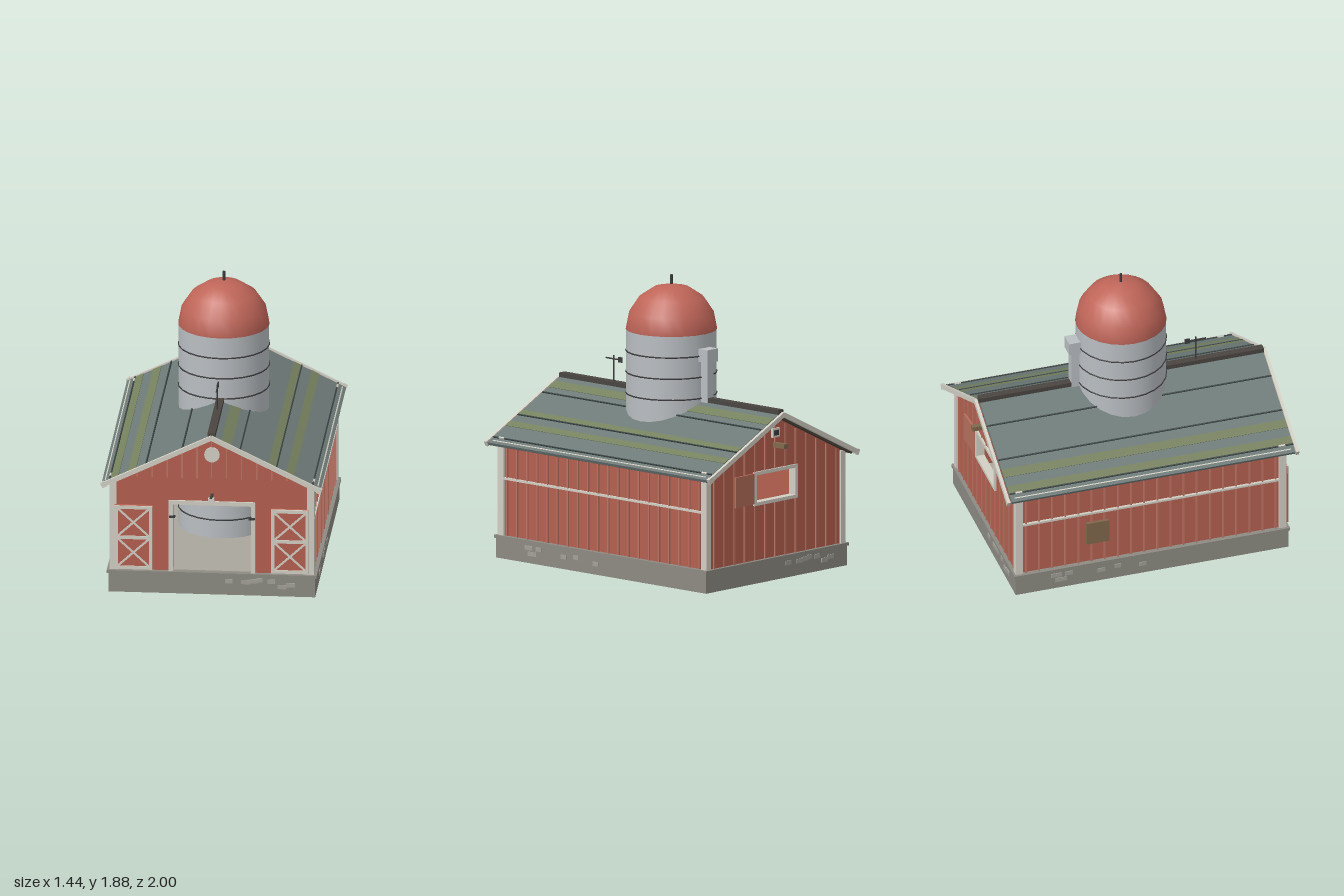
import * as THREE from 'three';

const COLORS = {
  wall: 0xb5604f, batten: 0xbd7464, trim: 0xd2cfc4, stone: 0x8c8a82, stoneLight: 0xa3a098,
  floor: 0xa9a69d, roof: 0x6d7a78, moss: 0x76815f, seam: 0x3a4442, ridge: 0x4a4541,
  silo: 0xb9bec2, dome: 0xbf6558, metal: 0x3c3c3e, wood: 0x80694c, shutter: 0xb8705c, under: 0x51473c,
};
const mats = {};
for (const k in COLORS) {
  mats[k] = new THREE.MeshStandardMaterial({ color: COLORS[k] });
}

const RIDGE = 1.1, EAVE_X = 0.71, SLOPE = 0.486;
const ANGLE = Math.atan(SLOPE), RUN = EAVE_X / Math.cos(ANGLE);
const roofY = (x) => RIDGE - SLOPE * Math.abs(x);

function add(parent, name, geo, mat, x = 0, y = 0, z = 0) {
  const m = new THREE.Mesh(geo, mats[mat]);
  m.name = name;
  m.position.set(x, y, z);
  parent.add(m);
  return m;
}
// Box given by its extents on each axis
function span(parent, name, mat, x0, x1, y0, y1, z0, z1) {
  return add(parent, name, new THREE.BoxGeometry(x1 - x0, y1 - y0, z1 - z0), mat,
    (x0 + x1) / 2, (y0 + y1) / 2, (z0 + z1) / 2);
}
function sub(parent, name) {
  const g = new THREE.Group();
  g.name = name;
  parent.add(g);
  return g;
}

function buildFoundation(root) {
  const g = sub(root, 'foundation');
  span(g, 'base', 'stone', -0.67, 0.67, 0, 0.13, -0.915, 0.93);
  span(g, 'ledge', 'stone', -0.68, 0.68, 0.13, 0.15, -0.925, 0.94);
  span(g, 'floor', 'floor', -0.62, 0.62, 0.145, 0.155, -0.87, 0.905);
  // Raised stones: [position along the wall, y, width]
  const front = [[0.11, 0.095, 0.05], [0.22, 0.092, 0.06], [0.27, 0.1, 0.06], [0.31, 0.107, 0.04],
    [0.385, 0.1, 0.05], [0.455, 0.065, 0.06], [0.51, 0.08, 0.06]];
  const side = [[0.64, 0.1, 0.07], [0.61, 0.062, 0.08], [0.555, 0.1, 0.05], [0.335, 0.08, 0.05],
    [0.225, 0.09, 0.045], [0.055, 0.07, 0.05]];
  for (const [p, y, w] of front) {
    span(g, 'stone', 'stoneLight', p - w / 2, p + w / 2, y - 0.014, y + 0.014, 0.92, 0.936);
    span(g, 'stone', 'stoneLight', -p - w / 2, -p + w / 2, y - 0.014, y + 0.014, -0.921, -0.9);
  }
  for (const [p, y, w] of side) {
    span(g, 'stone', 'stoneLight', 0.66, 0.675, y - 0.014, y + 0.014, p - w / 2, p + w / 2);
    span(g, 'stone', 'stoneLight', -0.675, -0.66, y - 0.014, y + 0.014, -p - w / 2, -p + w / 2);
  }
}

function buildWalls(root) {
  const g = sub(root, 'walls');
  const gable = (notch) => {
    const e = roofY(0.64) - 0.03;
    const pts = [[0.64, 0.15], [0.64, e], [0, RIDGE - 0.03], [-0.64, e], [-0.64, 0.15], ...notch];
    return new THREE.Shape(pts.map(([x, y]) => new THREE.Vector2(x, y)));
  };
  const opts = { depth: 0.04, bevelEnabled: false };
  const front = gable([[-0.255, 0.15], [-0.255, 0.61], [0.255, 0.61], [0.255, 0.15]]);
  add(g, 'frontWall', new THREE.ExtrudeGeometry(front, opts), 'wall', 0, 0, 0.87);
  const back = gable([]);
  back.holes.push(new THREE.Path([[-0.19, 0.53], [-0.19, 0.71], [0.19, 0.71], [0.19, 0.53]]
    .map(([x, y]) => new THREE.Vector2(x, y))));
  add(g, 'backWall', new THREE.ExtrudeGeometry(back, opts), 'wall', 0, 0, -0.9);

  // Vertical battens of the gable ends
  for (let i = -6; i <= 6; i++) {
    const x = i * 0.097, top = roofY(x) - 0.04;
    span(g, 'frontBatten', 'batten', x - 0.005, x + 0.005, 0.79, top, 0.9, 0.917);
    const parts = Math.abs(x) < 0.22 ? [[0.15, 0.51], [0.73, top]] : [[0.15, top]];
    for (const [a, b] of parts) span(g, 'backBatten', 'batten', x - 0.005, x + 0.005, a, b, -0.907, -0.89);
  }
  // Long sides with battens, rail and corner boards
  for (const s of [-1, 1]) {
    const w = sub(g, s > 0 ? 'leftSide' : 'rightSide');
    add(w, 'sideWall', new THREE.BoxGeometry(0.04, 0.62, 1.78), 'wall', s * 0.625, 0.46, 0.005);
    for (let i = 0; i < 20; i++) {
      add(w, 'batten', new THREE.BoxGeometry(0.014, 0.61, 0.01), 'batten', s * 0.65, 0.455, 0.85 - i * 0.089);
    }
    add(w, 'rail', new THREE.BoxGeometry(0.022, 0.014, 1.75), 'trim', s * 0.652, 0.525, 0.005);
    add(w, 'frontCorner', new THREE.BoxGeometry(0.045, 0.61, 0.05), 'trim', s * 0.64, 0.455, 0.897);
    add(w, 'backCorner', new THREE.BoxGeometry(0.045, 0.61, 0.05), 'trim', s * 0.64, 0.455, -0.887);
  }
  span(g, 'sidePatch', 'wood', -0.664, -0.645, 0.29, 0.45, -0.43, -0.28);
}

function buildRoof(root) {
  const g = sub(root, 'roof');
  const zc = 0.007, len = 1.92;
  // Mossy sheet strips on each slope, as x ranges
  const moss = { 1: [[0.065, 0.13], [0.37, 0.42], [0.485, 0.535]], '-1': [[0.6, 0.65], [0.485, 0.54]] };
  for (const s of [-1, 1]) {
    const p = sub(g, s > 0 ? 'leftSlope' : 'rightSlope');
    p.position.y = RIDGE;
    p.rotation.z = -s * ANGLE;
    const c = Math.cos(ANGLE);
    const strip = (name, mat, x0, x1, y0, y1, depth, z = zc) =>
      add(p, name, new THREE.BoxGeometry((x1 - x0) / c, y1 - y0, depth), mat, s * (x0 + x1) / 2 / c, (y0 + y1) / 2, z);
    strip('roofSheet', 'roof', 0, EAVE_X, -0.018, 0.002, len);
    strip('roofLining', 'under', 0.01, EAVE_X - 0.01, -0.028, -0.018, len - 0.02);
    for (const x of [0.185, 0.42, 0.655]) strip('seam', 'seam', x - 0.004, x + 0.004, 0, 0.009, len);
    for (const [a, b] of moss[s]) strip('mossStrip', 'moss', a, b, 0, 0.005, len);
    strip('eaveLine', 'trim', 0.683, 0.69, 0, 0.006, 1.87);
    for (const z of [-0.89, 0.89]) strip('eaveClip', 'trim', 0.65, 0.66, 0, 0.012, 0.045, z);
    for (const z of [-0.975, 0.98]) {
      strip('bargeBoard', 'trim', 0, EAVE_X, -0.022, 0.008, 0.02, z);
      strip('bargeEnd', 'trim', 0.69, 0.715, -0.026, 0.011, 0.022, z);
    }
  }
  span(g, 'ridgeCap', 'ridge', -0.025, 0.025, 1.085, 1.12, -0.955, 0.97);
}

function buildSilo(root) {
  const g = sub(root, 'silo');
  g.position.z = 0.008;
  const R = 0.293;
  add(g, 'siloBody', new THREE.CylinderGeometry(R, R, 1.38, 24), 'silo', 0, 0.84, 0);
  add(g, 'siloDome', new THREE.SphereGeometry(R + 0.003, 24, 4, 0, Math.PI * 2, 0, Math.PI / 2), 'dome', 0, 1.53, 0);
  for (let i = 0; i < 9; i++) {
    if (i > 2 && i < 6) continue;
    const hoop = add(g, 'hoop', new THREE.TorusGeometry(R + 0.001, 0.005, 6, 24), 'metal', 0, 0.279 + i * 0.139, 0);
    hoop.rotation.x = Math.PI / 2;
  }
  add(g, 'finial', new THREE.CylinderGeometry(0.009, 0.009, 0.07, 8), 'metal', 0, 1.85, 0);
  // Chute on the back of the silo
  span(g, 'chute', 'silo', -0.03, 0.03, 1.05, 1.36, -0.343, -0.28);
  span(g, 'chuteHead', 'silo', -0.05, 0.05, 1.355, 1.44, -0.365, -0.285);
}

// Red panel with a white frame, middle rail and two crossed braces
function buildDoor(root, s) {
  const g = sub(root, s > 0 ? 'leftDoor' : 'rightDoor');
  g.position.set(s * 0.507, 0.38, 0.928);
  const w = 0.245, h = 0.435, t = 0.022;
  add(g, 'doorPanel', new THREE.BoxGeometry(w, h, 0.024), 'wall');
  for (const d of [-1, 1]) {
    add(g, 'stile', new THREE.BoxGeometry(t, h, 0.014), 'trim', d * (w - t) / 2, 0, 0.012);
    add(g, 'crossRail', new THREE.BoxGeometry(w, t, 0.014), 'trim', 0, d * (h - t) / 2, 0.012);
    for (const y of [-0.103, 0.103]) {
      const b = add(g, 'brace', new THREE.BoxGeometry(0.275, 0.013, 0.01), 'trim', 0, y, 0.012);
      b.rotation.z = d * Math.atan2(0.185, 0.2);
    }
  }
  add(g, 'middleRail', new THREE.BoxGeometry(w, t, 0.014), 'trim', 0, 0, 0.012);
}

function buildFittings(root) {
  const f = sub(root, 'frontFittings');
  for (const s of [-1, 1]) {
    buildDoor(f, s);
    add(f, 'doorJamb', new THREE.BoxGeometry(0.028, 0.48, 0.06), 'trim', s * 0.266, 0.39, 0.893);
    add(f, 'hinge', new THREE.BoxGeometry(0.04, 0.014, 0.02), 'metal', s * 0.258, 0.525, 0.925);
  }
  span(f, 'doorHeader', 'trim', -0.28, 0.28, 0.607, 0.634, 0.863, 0.923);
  const disc = add(f, 'gableDisc', new THREE.CylinderGeometry(0.05, 0.05, 0.02, 24), 'trim', 0, 0.955, 0.915);
  disc.rotation.x = Math.PI / 2;
  span(f, 'lampArm', 'metal', -0.008, 0.008, 0.674, 0.686, 0.9, 0.995);
  span(f, 'lampShade', 'trim', -0.02, 0.02, 0.65, 0.68, 0.972, 0.998);

  const b = sub(root, 'backFittings');
  for (const s of [-1, 1]) {
    add(b, 'windowSide', new THREE.BoxGeometry(0.022, 0.22, 0.055), 'trim', s * 0.195, 0.62, -0.885);
    add(b, 'windowRail', new THREE.BoxGeometry(0.41, 0.022, 0.055), 'trim', 0, 0.62 + s * 0.1, -0.885);
  }
  const shutter = add(b, 'shutter', new THREE.BoxGeometry(0.19, 0.2, 0.012), 'shutter', 0.305, 0.625, -0.917);
  shutter.rotation.y = 0.06;
  span(b, 'hoistBeam', 'wood', -0.018, 0.018, 0.87, 0.9, -1, -0.88);
  span(b, 'ventFrame', 'trim', -0.035, 0.035, 0.935, 0.995, -0.915, -0.89);
  span(b, 'ventOpening', 'metal', -0.022, 0.022, 0.948, 0.982, -0.919, -0.9);

  // Weather vane on the ridge
  const v = sub(root, 'weatherVane');
  add(v, 'pole', new THREE.CylinderGeometry(0.005, 0.005, 0.18, 8), 'metal', 0, 1.2, 0.515);
  span(v, 'arm', 'metal', -0.004, 0.004, 1.261, 1.269, 0.45, 0.585);
  span(v, 'tail', 'metal', -0.004, 0.004, 1.248, 1.283, 0.44, 0.475);
}

export function createModel() {
  const root = new THREE.Group();
  root.name = 'barnWithSilo';
  buildFoundation(root);
  buildWalls(root);
  buildRoof(root);
  buildSilo(root);
  buildFittings(root);
  return root;
}
